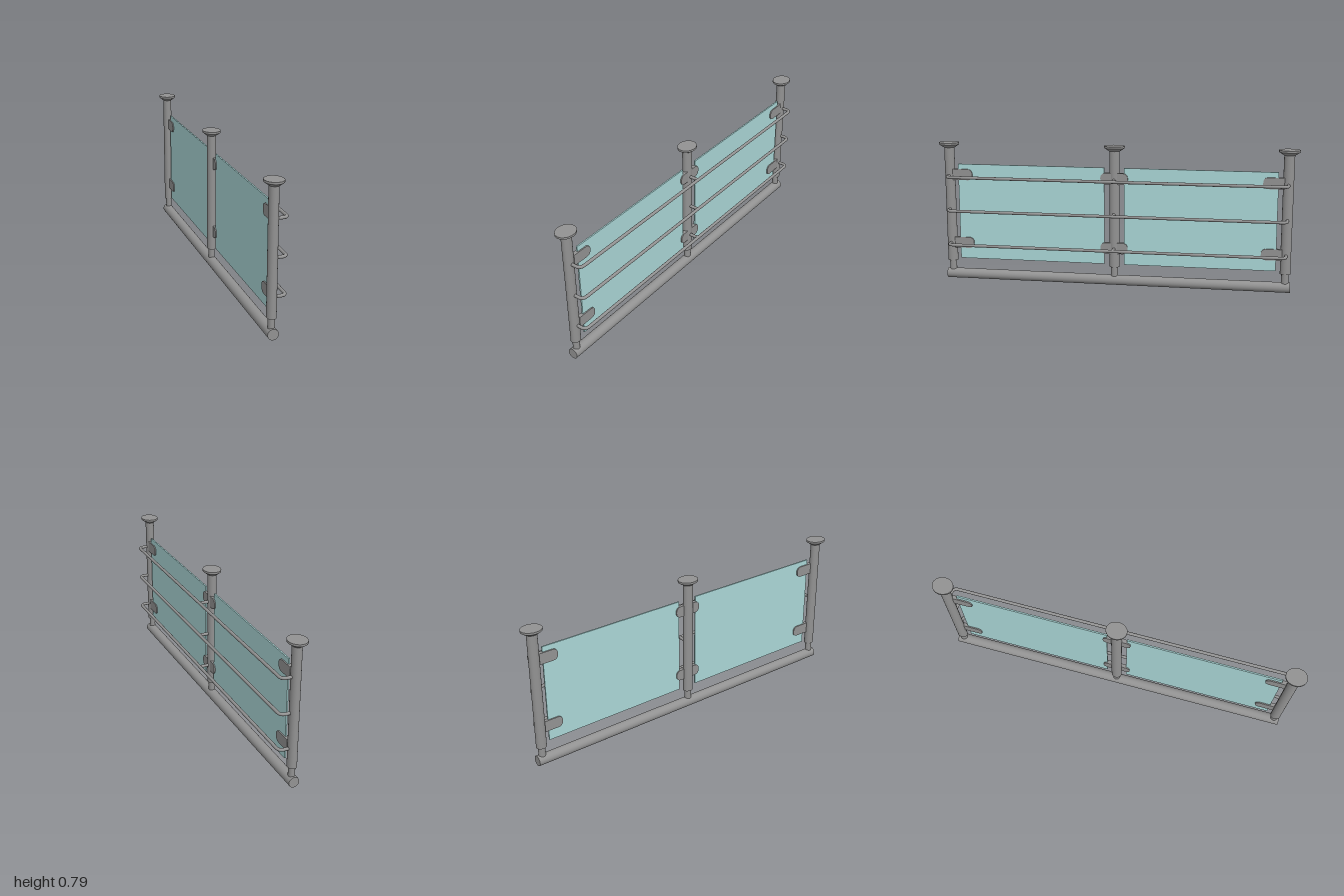
import * as THREE from 'three';

export function createModel() {
  const root = new THREE.Group();
  root.name = 'railing';
  const steel = new THREE.MeshStandardMaterial({ color: 0x929292 });
  steel.name = 'steel grey';
  const glass = new THREE.MeshStandardMaterial({ color: 0xaad6d6 });
  glass.name = 'glass teal';

  const AXIS = -0.018;   // x of the post line
  const END = 0.943;     // z of the outer posts
  const STRETCH = 1.17;  // round parts are slightly longer along z

  const add = (name, geo, mat, x, y, z, parent = root) => {
    const m = new THREE.Mesh(geo, mat);
    m.name = name;
    m.position.set(x, y, z);
    parent.add(m);
    return m;
  };

  // Round floor rail
  const base = new THREE.CylinderGeometry(0.0285, 0.0285, 1.946, 32);
  base.rotateX(Math.PI / 2);
  add('baseRail', base, steel, AXIS, 0.0285, 0);

  // Posts: thin foot, main tube and flared cap
  const foot = new THREE.CylinderGeometry(0.017, 0.017, 0.075, 24);
  const tube = new THREE.CylinderGeometry(0.0245, 0.0245, 0.665, 32);
  const flare = new THREE.CylinderGeometry(0.0485, 0.0265, 0.017, 32, 1, true);
  const disc = new THREE.CylinderGeometry(0.0485, 0.0485, 0.011, 32);
  for (const z of [-END, 0, END]) {
    const post = new THREE.Group();
    post.name = 'post';
    post.position.set(AXIS, 0, z);
    post.scale.z = STRETCH;
    root.add(post);
    add('postFoot', foot, steel, 0, 0.075, 0, post);
    add('postTube', tube, steel, 0, 0.4385, 0, post);
    add('capFlare', flare, steel, 0, 0.7675, 0, post);
    add('capDisc', disc, steel, 0, 0.7815, 0, post);
  }

  // Handrails bent into the outer posts, with a stub to the middle post
  const v = (x, z) => new THREE.Vector3(x, 0, z);
  const path = new THREE.CurvePath();
  const X = 0.0555, B = 0.03;
  path.add(new THREE.LineCurve3(v(0, END), v(X - B, END)));
  path.add(new THREE.QuadraticBezierCurve3(v(X - B, END), v(X, END), v(X, END - B)));
  path.add(new THREE.LineCurve3(v(X, END - B), v(X, B - END)));
  path.add(new THREE.QuadraticBezierCurve3(v(X, B - END), v(X, -END), v(X - B, -END)));
  path.add(new THREE.LineCurve3(v(X - B, -END), v(0, -END)));
  const bar = new THREE.TubeGeometry(path, 400, 0.0087, 12, false);
  const stub = new THREE.CylinderGeometry(0.0087, 0.0087, 0.056, 16);
  stub.rotateZ(Math.PI / 2);
  for (const y of [0.211, 0.407, 0.599]) {
    add('handrail', bar, steel, 0, y, 0);
    add('handrailStub', stub, steel, 0.0275, y, 0);
  }

  // Glass panels
  const pane = new THREE.BoxGeometry(0.008, 0.545, 0.836);
  for (const s of [-1, 1]) add('glassPanel', pane, glass, -0.009, 0.3945, s * 0.473);

  // Glass clamps: flat tabs with a rounded outer end
  const clampGeometry = (length) => {
    const h = 0.031, r = 0.026;
    const s = new THREE.Shape();
    s.moveTo(0, -h);
    s.lineTo(length - r, -h);
    s.absarc(length - r, -h + r, r, -Math.PI / 2, 0, false);
    s.absarc(length - r, h - r, r, 0, Math.PI / 2, false);
    s.lineTo(0, h);
    const g = new THREE.ExtrudeGeometry(s, { depth: 0.021, bevelEnabled: false, curveSegments: 10 });
    g.translate(0, 0, -0.0105);
    return g;
  };
  const outerClamp = clampGeometry(0.113), middleClamp = clampGeometry(0.076);
  for (const y of [0.214, 0.607]) {
    for (const s of [-1, 1]) {
      // The shape's length runs along z, away from its post
      add('middleClamp', middleClamp, steel, -0.009, y, 0).rotation.y = -s * Math.PI / 2;
      add('outerClamp', outerClamp, steel, -0.009, y, s * 0.922).rotation.y = s * Math.PI / 2;
    }
  }
  return root;
}
